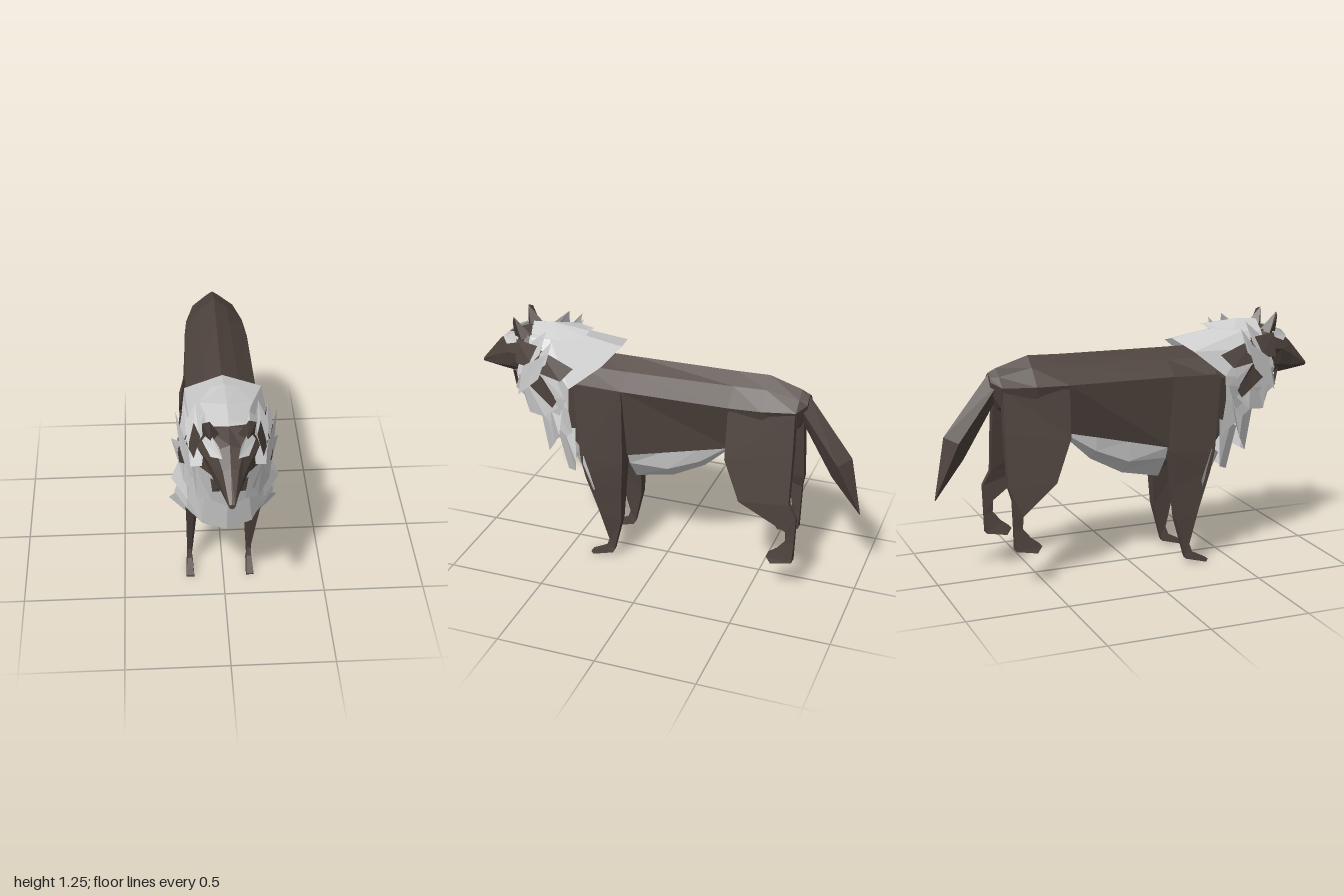
import * as THREE from 'three';

const material = (name, color) => {
  const m = new THREE.MeshStandardMaterial({ color, flatShading: true, side: THREE.DoubleSide });
  m.name = name;
  return m;
};
const flip = (p) => [-p[0], p[1], p[2]];
// Full row from its right half (centre point first)
const full = (half) => [...half.slice(1).reverse().map(flip), ...half];

// Faceted surface through rows of points; closed rows make capped tubes
function sheet(rows, closed = false) {
  const v = [];
  const n = rows[0].length;
  for (let r = 0; r < rows.length - 1; r++) {
    for (let i = 0; i < (closed ? n : n - 1); i++) {
      const a = rows[r][i], b = rows[r][(i + 1) % n];
      const c = rows[r + 1][(i + 1) % n], d = rows[r + 1][i];
      v.push(...a, ...b, ...c, ...a, ...c, ...d);
    }
  }
  if (closed) {
    for (const row of [rows[0], rows[rows.length - 1]]) {
      for (let i = 1; i < n - 1; i++) v.push(...row[0], ...row[i], ...row[i + 1]);
    }
  }
  const g = new THREE.BufferGeometry();
  g.setAttribute('position', new THREE.Float32BufferAttribute(v, 3));
  g.computeVertexNormals();
  return g;
}

// Closed ring at depth z from a right half running from top centre to bottom centre
const ring = (z, half) => {
  const right = half.map(([x, y]) => [x, y, z]);
  return [...right, ...right.slice(1, -1).reverse().map(flip)];
};

export function createModel() {
  const group = new THREE.Group();
  const brown = material('darkBrownFur', 0x4e433d);
  const grey = material('lightGreyFur', 0xcecece);
  const add = (name, geometry, mat) => {
    const m = new THREE.Mesh(geometry, mat);
    m.name = name;
    group.add(m);
  };
  // Flat polygon on both sides
  const patch = (name, pts, mat) => {
    for (const [side, q] of [['left', pts], ['right', pts.map(flip)]]) {
      const v = [];
      for (let i = 1; i < q.length - 1; i++) v.push(...q[0], ...q[i], ...q[i + 1]);
      const g = new THREE.BufferGeometry();
      g.setAttribute('position', new THREE.Float32BufferAttribute(v, 3));
      g.computeVertexNormals();
      add(side + name, g, mat);
    }
  };

  // Body and neck
  add('body', sheet([
    ring(0.6, [[0, 1.12], [0.08, 1.07], [0.12, 0.95], [0.1, 0.8], [0, 0.72]]),
    ring(0.42, [[0, 1.1], [0.09, 1.05], [0.16, 0.95], [0.14, 0.62], [0, 0.5]]),
    ring(0.18, [[0, 1.1], [0.085, 1.05], [0.17, 0.98], [0.13, 0.61], [0, 0.58]]),
    ring(-0.36, [[0, 1.105], [0.07, 1.055], [0.16, 0.98], [0.09, 0.73], [0, 0.72]]),
    ring(-0.52, [[0, 1.11], [0.065, 1.06], [0.145, 0.98], [0.09, 0.75], [0, 0.73]]),
    ring(-0.68, [[0, 1.06], [0.05, 1.025], [0.105, 0.98], [0.06, 0.88], [0, 0.86]]),
    ring(-0.72, [[0, 1.04], [0.03, 1.02], [0.045, 1.0], [0.03, 0.96], [0, 0.95]]),
  ], true), brown);

  // Belly fur: [z, top half width, middle half width, top, middle, bottom]
  add('belly', sheet([
    [0.17, 0.12, 0.095, 0.61, 0.55, 0.43], [-0.03, 0.11, 0.09, 0.66, 0.55, 0.47],
    [-0.2, 0.1, 0.08, 0.7, 0.62, 0.56], [-0.36, 0.06, 0.05, 0.735, 0.72, 0.71],
  ].map(([z, w0, w1, y0, y1, y2]) => full([[0, y2, z], [w1, y1, z], [w0, y0, z]]))), grey);

  // Tail
  add('tail', sheet([
    [[0, 1.045, -0.71], [0.055, 1.0, -0.68], [0, 0.94, -0.66], [-0.055, 1.0, -0.68]],
    [[0.01, 0.74, -0.945], [0.08, 0.72, -0.89], [0.01, 0.62, -0.85], [-0.065, 0.72, -0.89]],
    [[0, 0.435, -1], [0.003, 0.435, -1], [0, 0.432, -0.997], [-0.003, 0.435, -1]],
  ], true), brown);

  // Legs: each station gives its back edge, then its front edge, as [y, z, inner x, outer x]
  const leg = (name, stations, s) => add(name, sheet(stations.map(([yb, zb, b0, b1, yf, zf, f0, f1]) => [
    [s * b0, yb, zb], [s * b1, yb, zb], [s * f1, yf, zf], [s * f0, yf, zf],
  ]), true), brown);
  for (const s of [1, -1]) {
    const side = s > 0 ? 'left' : 'right';
    const dx = s > 0 ? -0.012 : 0.02;
    const ax = 0.147 + dx;
    leg(side + 'ForeLeg', [
      [0.98, 0.18, 0.08, 0.175, 0.97, 0.44, 0.08, 0.16],
      [0.6, 0.17, 0.1, 0.195, 0.58, 0.4, 0.13, 0.185],
      [0.42, 0.185, 0.1, 0.18, 0.48, 0.375, 0.145, 0.187],
      [0.24, 0.195, 0.12 + dx / 2, 0.17 + dx / 2, 0.28, 0.315, 0.14 + dx / 2, 0.17 + dx / 2],
      [0.05, 0.24, ax - 0.012, ax + 0.012, 0.105, 0.27, ax - 0.008, ax + 0.008],
      [0.03, 0.25, ax - 0.016, ax + 0.016, 0.06, 0.285, ax - 0.013, ax + 0.013],
      [0, 0.36, ax - 0.02, ax + 0.02, 0.015, 0.37, ax - 0.018, ax + 0.018],
    ], s);
    // The left hind foot is set further back, its knee further out
    const dz = s > 0 ? -0.055 : 0;
    const kx = s > 0 ? 0.025 : 0;
    const hx = s > 0 ? 0.15 : 0.172;
    leg(side + 'HindLeg', [
      [0.97, -0.675, 0.05, 0.1, 0.96, -0.36, 0.08, 0.158],
      [0.76, -0.68, 0.085, 0.13, 0.72, -0.36, 0.1 + kx, 0.17 + kx],
      [0.51, -0.68, 0.13, 0.165, 0.51, -0.44, 0.145 + kx, 0.185 + kx],
      [0.44, -0.665 + dz, hx - 0.014, hx + 0.014, 0.36, -0.615 + dz, hx - 0.018, hx + 0.018],
      [0.29, -0.66 + dz, hx - 0.015, hx + 0.015, 0.3, -0.618 + dz, hx - 0.013, hx + 0.013],
      [0.19, -0.655 + dz, hx - 0.024, hx + 0.024, 0.24, -0.57 + dz, hx - 0.02, hx + 0.02],
      [0.172, -0.55 + dz, hx - 0.032, hx + 0.032, 0.205, -0.525 + dz, hx - 0.026, hx + 0.026],
    ], s);
  }

  // Head with tapering muzzle
  add('head', sheet([
    ring(0.5, [[0, 1.17], [0.09, 1.14], [0.12, 1.05], [0.08, 0.92], [0, 0.9]]),
    ring(0.72, [[0, 1.185], [0.09, 1.17], [0.14, 1.08], [0.095, 0.98], [0, 0.92]]),
    ring(0.82, [[0, 1.155], [0.06, 1.13], [0.09, 1.06], [0.075, 0.98], [0, 0.92]]),
    ring(0.9, [[0, 1.09], [0.035, 1.075], [0.05, 1.02], [0.04, 0.96], [0, 0.93]]),
    ring(1.0, [[0, 0.97], [0.012, 0.967], [0.015, 0.96], [0.01, 0.95], [0, 0.945]]),
  ], true), brown);

  // Ears: four-cornered spikes leaning forward
  for (const s of [1, -1]) {
    const tip = [s * 0.085, 1.255, 0.78];
    add(s > 0 ? 'leftEar' : 'rightEar', sheet([
      [[s * 0.04, 1.165, 0.75], [s * 0.08, 1.15, 0.78], [s * 0.115, 1.15, 0.73], [s * 0.08, 1.165, 0.69]],
      [tip, tip, [s * 0.118, 1.24, 0.77], tip],
    ], true), brown);
  }
  patch('EyePatch', [[0.035, 1.118, 0.868], [0.048, 1.155, 0.83], [0.088, 1.182, 0.75],
    [0.118, 1.135, 0.75], [0.084, 1.102, 0.828]], grey);

  // Upper mane wrapping the neck behind the face
  add('upperMane', sheet([
    [[0, 1.185, 0.72], [0.1, 1.165, 0.69], [0.145, 1.08, 0.69], [0.15, 0.98, 0.73], [0.1, 0.88, 0.78]],
    [[0, 1.2, 0.6], [0.1, 1.17, 0.58], [0.165, 1.09, 0.56], [0.18, 0.95, 0.58], [0.17, 0.78, 0.6]],
    [[0, 1.14, 0.24], [0.18, 1.1, 0.28], [0.21, 0.97, 0.44], [0.2, 0.85, 0.45], [0.185, 0.66, 0.43]],
  ].map(full)), grey);
  add('crownTuft', sheet([
    [[0, 1.21, 0.71], [0.08, 1.178, 0.69]],
    [[0, 1.22, 0.6], [0.12, 1.18, 0.52]],
    [[0, 1.2, 0.41], [0.06, 1.19, 0.41]],
  ].map(full)), grey);

  // Overlapping chest tiers: upper and lower edge of each, centre to side
  const tiers = [
    [[[0, 0.94, 0.8], [0.08, 0.97, 0.785], [0.15, 1.0, 0.73], [0.18, 1.04, 0.6], [0.2, 1.0, 0.5]],
      [[0, 0.76, 0.75], [0.08, 0.79, 0.73], [0.14, 0.77, 0.69], [0.2, 0.79, 0.58], [0.22, 0.86, 0.5]]],
    [[[0, 0.84, 0.7], [0.09, 0.86, 0.67], [0.16, 0.88, 0.58], [0.19, 0.9, 0.48]],
      [[0, 0.535, 0.635], [0.12, 0.555, 0.6], [0.18, 0.64, 0.54], [0.255, 0.73, 0.48]]],
    [[[0, 0.66, 0.59], [0.1, 0.68, 0.56], [0.16, 0.72, 0.5], [0.19, 0.75, 0.42]],
      [[0, 0.445, 0.53], [0.11, 0.465, 0.5], [0.18, 0.5, 0.43], [0.24, 0.585, 0.4]]],
    [[[0, 0.53, 0.48], [0.1, 0.55, 0.46], [0.16, 0.58, 0.42], [0.19, 0.6, 0.38]],
      [[0, 0.37, 0.38], [0.1, 0.39, 0.38], [0.19, 0.41, 0.33], [0.265, 0.465, 0.29]]],
  ];
  tiers.forEach((tier, i) => add('chestTier' + (i + 1), sheet(tier.map(full)), grey));

  // Cheek tufts and dark markings
  patch('UpperCheekTuft', [[0.14, 1.225, 0.58], [0.188, 1.12, 0.6], [0.17, 0.98, 0.73],
    [0.12, 1.0, 0.755], [0.1, 1.12, 0.71]], grey);
  patch('OuterCheekTuft', [[0.23, 1.15, 0.54], [0.215, 1.0, 0.6], [0.165, 0.87, 0.74], [0.175, 1.04, 0.7]], grey);
  patch('NeckTuft', [[0.25, 0.93, 0.44], [0.21, 0.8, 0.5], [0.15, 0.88, 0.68], [0.19, 1.0, 0.58]], grey);
  patch('SideTuft', [[0.19, 1.2, 0.53], [0.21, 1.08, 0.56], [0.18, 1.0, 0.66], [0.165, 1.1, 0.62]], grey);
  patch('TempleMarking', [[0.16, 1.14, 0.62], [0.195, 1.075, 0.42], [0.222, 1.01, 0.48], [0.195, 1.03, 0.63]], brown);
  patch('CheekMarking', [[0.19, 1.04, 0.63], [0.185, 0.95, 0.67], [0.215, 0.855, 0.53], [0.222, 0.9, 0.5],
    [0.21, 1.01, 0.58]], brown);
  patch('FaceMarking', [[0.125, 1.155, 0.75], [0.155, 1.145, 0.6], [0.185, 1.04, 0.64], [0.155, 1.04, 0.75]], brown);
  patch('JawTuft', [[0.03, 0.935, 0.81], [0.085, 0.965, 0.8], [0.075, 0.88, 0.79], [0.045, 0.88, 0.79]], brown);

  return group;
}
